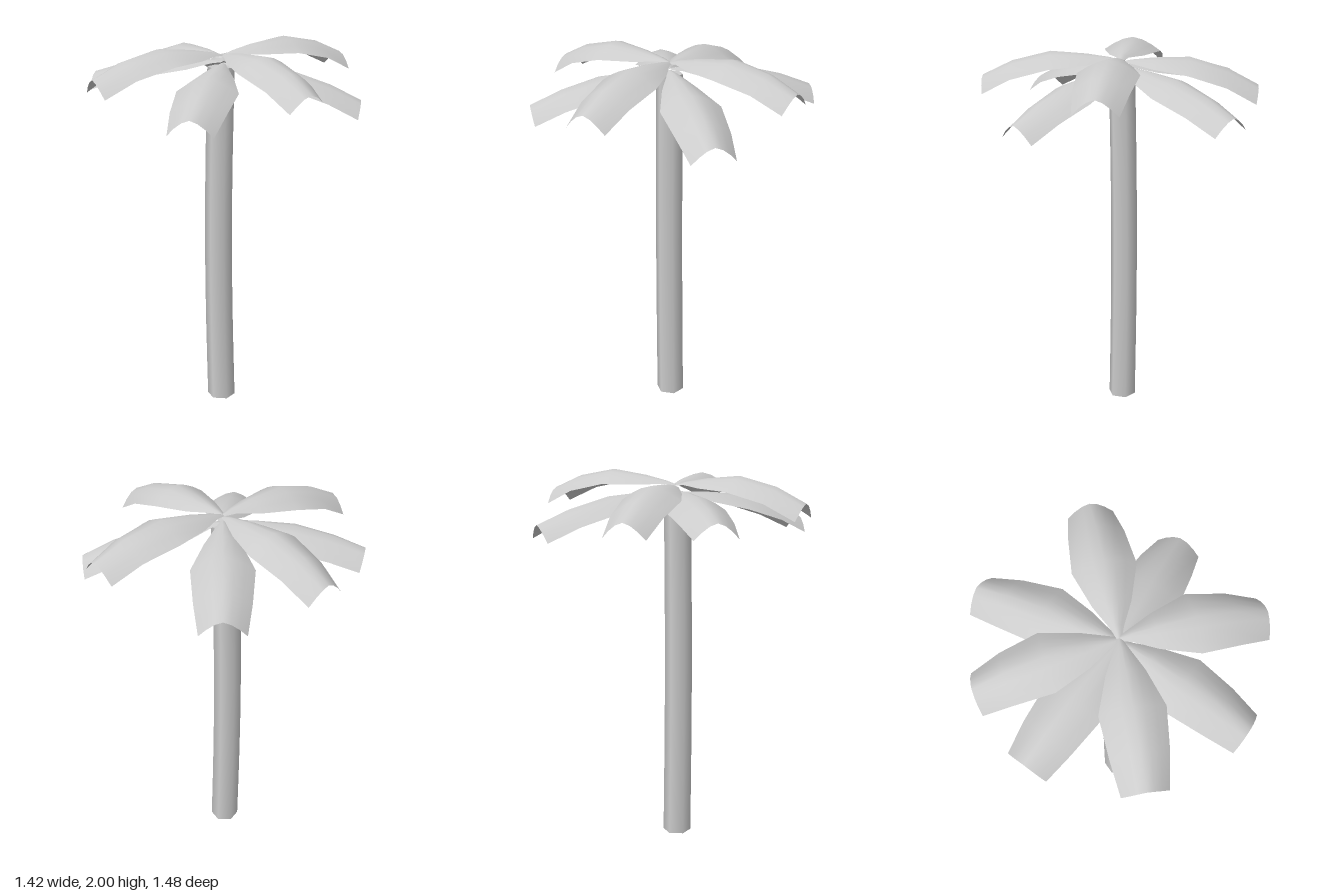
import * as THREE from 'three';

const material = new THREE.MeshStandardMaterial({ color: 0xcccccc });
const leafMaterial = new THREE.MeshStandardMaterial({ color: 0xcccccc, side: THREE.DoubleSide });

// Crown centre in plan
const CX = 0.0, CZ = 0.03;

// Cross-sections along a frond: [fraction of length, half width, edge drop, share of arch]
const SECTIONS = [
  [0, 0.012, 0.005, 0],
  [0.08, 0.035, 0.015, 0.25],
  [0.24, 0.092, 0.045, 0.6],
  [0.5, 0.155, 0.07, 1],
  [0.78, 0.137, 0.075, 0.68],
  [1, 0.112, 0.08, 0],
];
const ACROSS = 6;

// Fronds: [tip x, tip z, root y, tip y, arch height]
const FRONDS = {
  frondBack: [0.0, -0.74, 1.9, 1.76, 0.055],
  frondBackLeft: [0.59, -0.42, 1.93, 1.89, 0.09],
  frondLeft: [0.71, 0.022, 1.89, 1.71, 0.055],
  frondFrontLeft: [0.47, 0.58, 1.93, 1.84, 0.085],
  frondFront: [-0.075, 0.74, 1.89, 1.745, 0.055],
  frondFrontRight: [-0.585, 0.452, 1.93, 1.865, 0.09],
  frondRight: [-0.7, -0.105, 1.9, 1.81, 0.045],
  frondBackRight: [-0.485, -0.49, 1.92, 1.81, 0.085],
};

// Arched blade, curved down to both edges
function frondGeometry([tx, tz, rootY, tipY, arch]) {
  const length = Math.hypot(tx - CX, tz - CZ);
  const dx = (tx - CX) / length, dz = (tz - CZ) / length;
  const pos = [], index = [];
  SECTIONS.forEach(([f, w, drop, a], i) => {
    for (let j = 0; j <= ACROSS; j++) {
      const t = (j / ACROSS) * 2 - 1;
      const r = f * length - 0.015 * f * t * t;
      pos.push(
        CX + dx * r - dz * w * t,
        rootY + (tipY - rootY) * f + arch * a - drop * Math.pow(Math.abs(t), 1.6),
        CZ + dz * r + dx * w * t
      );
      if (i > 0 && j > 0) {
        const p = i * (ACROSS + 1) + j, q = p - ACROSS - 1;
        index.push(q - 1, q, p, q - 1, p, p - 1);
      }
    }
  });
  // Winding: upper side faces outwards
  for (let k = 0; k < index.length; k += 3) {
    [index[k + 1], index[k + 2]] = [index[k + 2], index[k + 1]];
  }
  const g = new THREE.BufferGeometry();
  g.setAttribute('position', new THREE.Float32BufferAttribute(pos, 3));
  g.setIndex(index);
  g.computeVertexNormals();
  return g;
}

// Six-sided trunk with a gentle bow
function trunkGeometry() {
  const height = 1.87;
  const g = new THREE.CylinderGeometry(0.071, 0.076, height, 6, 8);
  g.rotateY(Math.PI / 6);
  g.translate(0, height / 2, CZ);
  const p = g.attributes.position;
  for (let i = 0; i < p.count; i++) {
    const bow = Math.sin((Math.PI * p.getY(i)) / height);
    p.setX(i, p.getX(i) - 0.01 - 0.015 * bow);
  }
  return g;
}

export function createModel() {
  const group = new THREE.Group();
  group.name = 'palmTree';

  const trunk = new THREE.Mesh(trunkGeometry(), material);
  trunk.name = 'trunk';
  group.add(trunk);

  const crown = new THREE.Group();
  crown.name = 'crown';
  for (const [name, spec] of Object.entries(FRONDS)) {
    const frond = new THREE.Mesh(frondGeometry(spec), leafMaterial);
    frond.name = name;
    crown.add(frond);
  }
  group.add(crown);
  return group;
}
